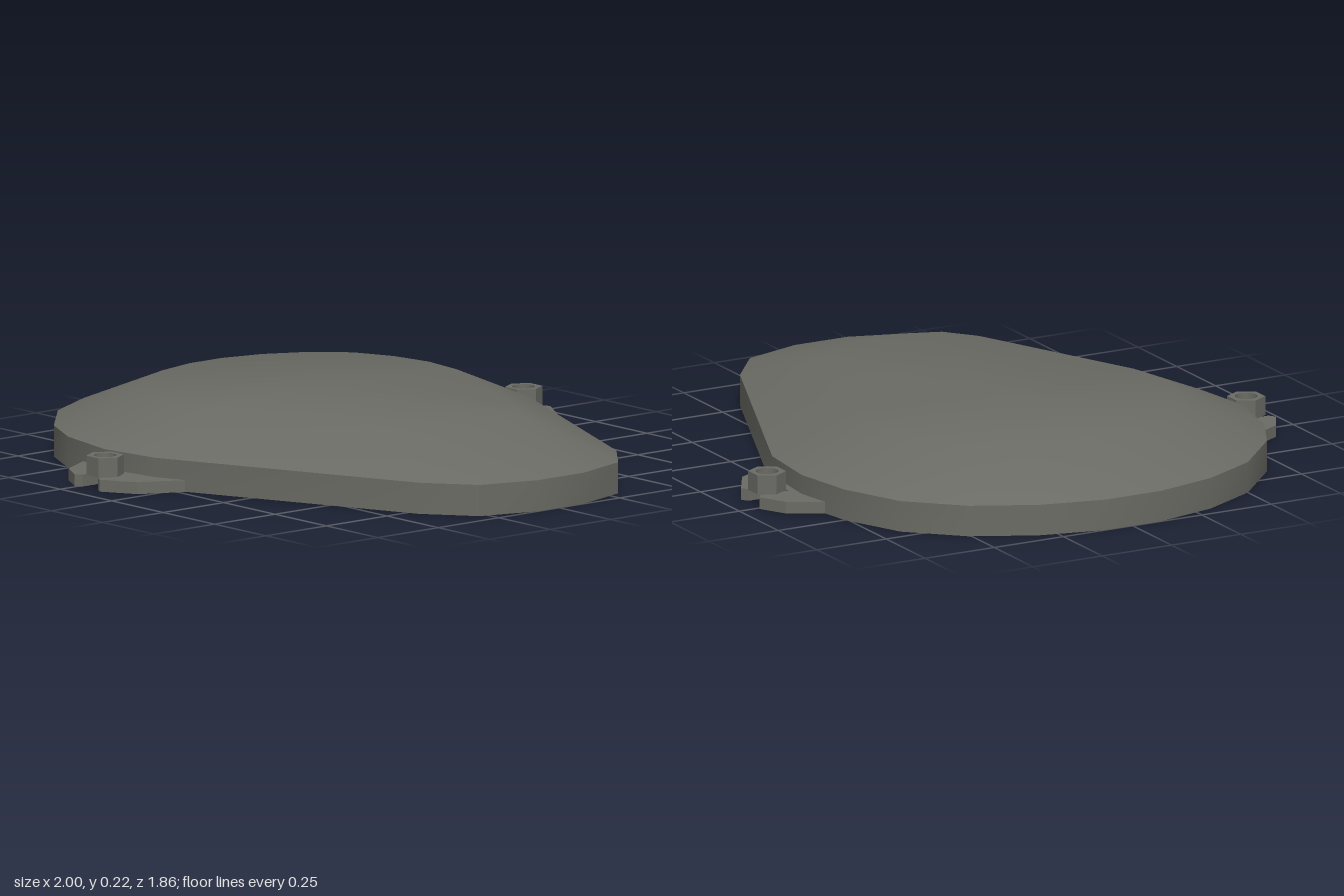
import * as THREE from 'three';
import { toCreasedNormals } from 'three/addons/utils/BufferGeometryUtils.js';

// Teardrop outline (x, z), counter-clockwise seen from above
const OUTLINE = [
  [-1, 0.1], [-0.95, 0.31], [-0.85, 0.5], [-0.67, 0.67], [-0.5, 0.755], [-0.27, 0.8], [-0.06, 0.77],
  [0.79, 0.4], [0.94, 0.28], [1, 0.09], [1, -0.1], [0.94, -0.295], [0.79, -0.415],
  [-0.06, -0.775], [-0.29, -0.797], [-0.5, -0.76], [-0.7, -0.67], [-0.85, -0.51], [-0.95, -0.31], [-1, -0.1],
];
const CENTRE_X = -0.18;

// Rings as [outline scale, height]: hollow underside with its rim, then side wall and dome
const UNDERSIDE = [[0, 0.165], [0.62, 0.165], [0.93, 0], [1, 0]];
const OUTSIDE = [[1, 0], [1, 0.1], [0.66, 0.215], [0, 0.215]];

// Lofts the outline through a list of rings, keeping edges above the crease angle sharp
function loft(rings, creaseDegrees) {
  const n = OUTLINE.length;
  const positions = [];
  const point = ([scale, y], i) => {
    const [x, z] = OUTLINE[i % n];
    return [CENTRE_X + (x - CENTRE_X) * scale, y, z * scale];
  };
  for (let k = 0; k < rings.length - 1; k++) {
    const first = rings[k], next = rings[k + 1];
    for (let i = 0; i < n; i++) {
      const a = point(first, i), b = point(first, i + 1);
      const c = point(next, i + 1), d = point(next, i);
      if (first[0] > 0) positions.push(...a, ...b, ...c);
      if (next[0] > 0) positions.push(...a, ...c, ...d);
    }
  }
  const geometry = new THREE.BufferGeometry();
  geometry.setAttribute('position', new THREE.Float32BufferAttribute(positions, 3));
  return toCreasedNormals(geometry, THREE.MathUtils.degToRad(creaseDegrees));
}

// Extrudes a shape drawn in (x, z) upwards between two heights
function slab(shape, bottom, top) {
  const geometry = new THREE.ExtrudeGeometry(shape, { depth: top - bottom, bevelEnabled: false, curveSegments: 10 });
  geometry.rotateX(Math.PI / 2);
  geometry.translate(0, top, 0);
  return geometry;
}

// Mounting ear: slotted foot plate with a hexagonal nut over the slot
function createEar(material, name, side, nutZ) {
  const ear = new THREE.Group();
  ear.name = name;

  const foot = new THREE.Shape([
    [-0.41, 0.765], [-0.345, 0.885], [-0.26, 0.932], [-0.238, 0.918], [-0.238, 0.815],
    [-0.162, 0.815], [-0.162, 0.918], [-0.14, 0.932], [-0.03, 0.867], [0.04, 0.73], [-0.06, 0.755], [-0.27, 0.785],
  ].map(([x, z]) => new THREE.Vector2(x, z * side)));
  const footMesh = new THREE.Mesh(slab(foot, 0, 0.038), material);
  footMesh.name = 'slottedFoot';

  const corners = [];
  for (let i = 0; i < 6; i++) {
    const angle = (i * Math.PI) / 3;
    corners.push(new THREE.Vector2(-0.197 + 0.06 * Math.cos(angle), nutZ + 0.06 * Math.sin(angle)));
  }
  const nut = new THREE.Shape(corners);
  nut.holes.push(new THREE.Path().absarc(-0.197, nutZ, 0.036, 0, Math.PI * 2, true));
  const nutMesh = new THREE.Mesh(slab(nut, 0.038, 0.1), material);
  nutMesh.name = 'hexNut';

  ear.add(footMesh, nutMesh);
  return ear;
}

export function createModel() {
  const model = new THREE.Group();
  model.name = 'cover';
  const grey = new THREE.MeshStandardMaterial({ color: 0x6b6b65 });
  grey.name = 'warm grey';

  const outside = new THREE.Mesh(loft(OUTSIDE, 30), grey);
  outside.name = 'domeAndWall';
  const underside = new THREE.Mesh(loft(UNDERSIDE, 60), grey);
  underside.name = 'hollowUnderside';

  model.add(outside, underside, createEar(grey, 'frontEar', 1, 0.86), createEar(grey, 'backEar', -1, -0.87));
  return model;
}
